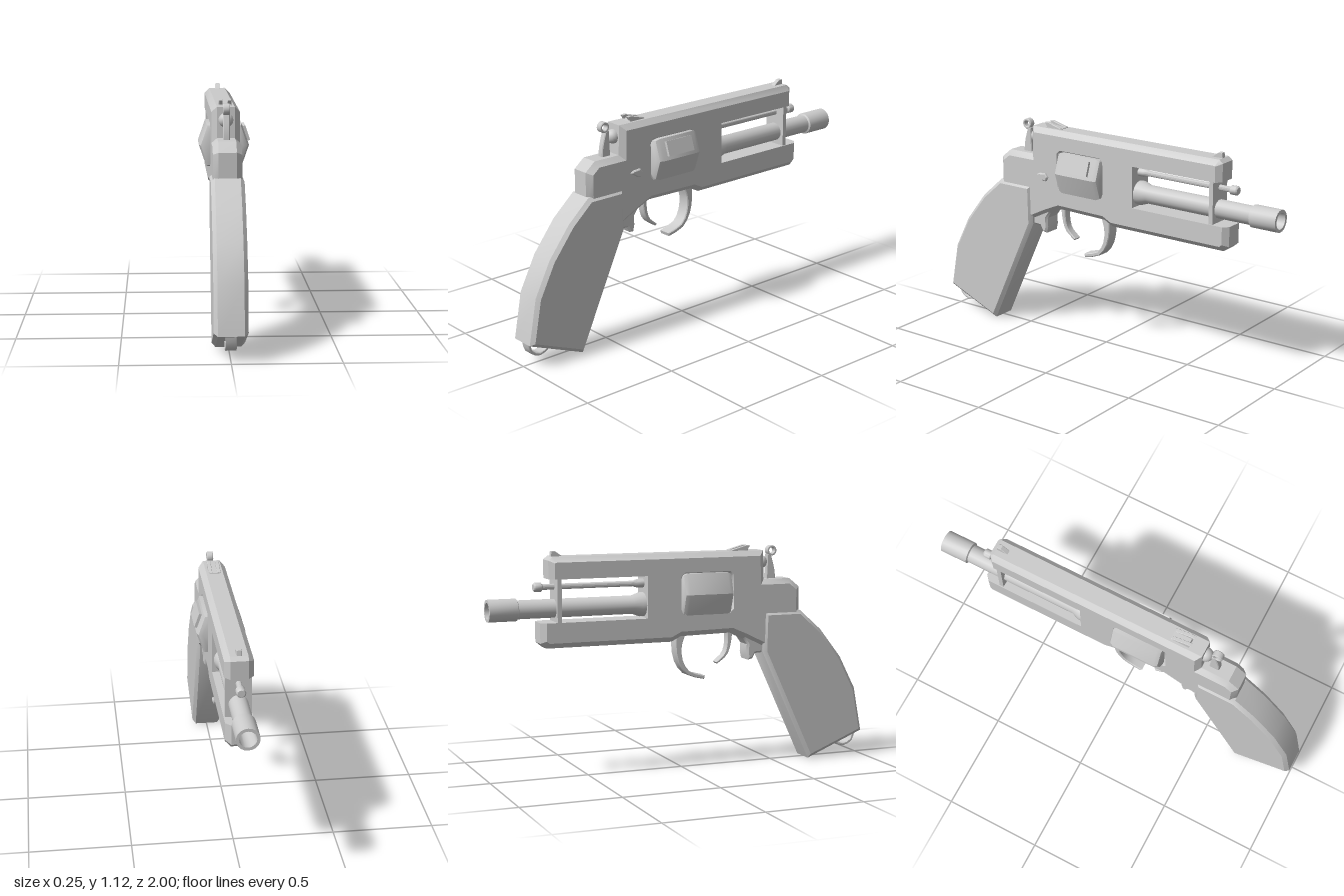
import * as THREE from 'three';
import { toCreasedNormals } from 'three/addons/utils/BufferGeometryUtils.js';

const material = new THREE.MeshStandardMaterial({ color: 0xcccccc });
const vectors = (points) => points.map(([a, b]) => new THREE.Vector2(a, b));

export function createModel() {
  const model = new THREE.Group();

  const add = (name, geometry, x = 0, y = 0, z = 0) => {
    const mesh = new THREE.Mesh(geometry, material);
    mesh.name = name;
    mesh.position.set(x, y, z);
    model.add(mesh);
    return mesh;
  };

  // Side outline of [z, y] points, thickened to +-half along x with chamfered edges
  const plate = (points, half, bevel = 0.006, holes = []) => {
    const shape = new THREE.Shape(vectors(points));
    shape.holes = holes.map((h) => new THREE.Path(vectors(h)));
    const depth = 2 * (half - bevel);
    const geometry = new THREE.ExtrudeGeometry(shape, {
      depth, bevelEnabled: bevel > 0, bevelSize: bevel, bevelThickness: bevel,
      bevelOffset: -bevel, bevelSegments: 1,
    });
    return geometry.translate(0, 0, -depth / 2).rotateY(-Math.PI / 2);
  };
  const creased = (geometry) => toCreasedNormals(geometry, 0.6);

  // Curved strap following [z, y, thickness] points
  const strap = (points, half, bevel = 0.004) => {
    const curve = new THREE.CatmullRomCurve3(points.map((p) => new THREE.Vector3(...p)));
    const a = [], b = [];
    for (let i = 0; i <= 8; i++) {
      const p = curve.getPoint(i / 8);
      const t = curve.getTangent(i / 8).setZ(0).normalize().multiplyScalar(p.z / 2);
      a.push([p.x - t.y, p.y + t.x]);
      b.unshift([p.x + t.y, p.y - t.x]);
    }
    return creased(plate([...a, ...b], half, bevel));
  };

  // Round part along -z from [radius, distance] points
  const turned = (points, sides = 20) =>
    toCreasedNormals(new THREE.LatheGeometry(vectors(points), sides).rotateX(-Math.PI / 2).toNonIndexed(), 0.7);

  const circle = (z, y, r, n = 14) =>
    Array.from({ length: n }, (_, i) => {
      const t = (i / n) * Math.PI * 2;
      return [z + r * Math.cos(t), y + r * Math.sin(t)];
    });

  // Frame with top strap, lower shroud and cylinder window
  const b = 0.026;
  const window = [
    [-0.025 + b, 0.82], [0.005, 0.79 + b], [0.23, 0.79 + b], [0.26 - b, 0.82],
    [0.26 - b, 0.97], [0.23, 1.0 - b], [0.005, 1.0 - b], [-0.025 + b, 0.97],
  ];
  const frame = plate([
    [0.635, 0.74], [0.635, 0.905], [0.58, 0.95], [0.435, 0.95], [0.43, 1.097],
    [-0.685, 1.097], [-0.705, 1.08], [-0.705, 0.99], [-0.205, 0.99], [-0.205, 0.78],
    [-0.75, 0.78], [-0.75, 0.68], [-0.72, 0.655], [-0.07, 0.655], [-0.02, 0.68],
    [0.25, 0.685], [0.33, 0.65], [0.43, 0.6], [0.52, 0.6],
  ], 0.068, b, [window]);
  // Keep the barrel opening square instead of chamfered
  const p = frame.attributes.position;
  for (let i = 0; i < p.count; i++) {
    const y = p.getY(i), z = p.getZ(i);
    if (z < -0.17 && y > 0.745 && y < 1.02) {
      p.setY(i, y > 0.88 ? 0.99 : 0.78);
      if (z > -0.4) p.setZ(i, -0.205);
    }
  }
  frame.computeVertexNormals();
  add('frame', creased(frame));
  add('frontPost', new THREE.BoxGeometry(0.124, 0.23, 0.022), 0, 0.885, -0.656);

  // Spur at the front of the grip
  add('gripSpur', creased(plate([
    [0.28, 0.69], [0.32, 0.655], [0.345, 0.62], [0.342, 0.575], [0.35, 0.54], [0.375, 0.545],
    [0.39, 0.572], [0.44, 0.575], [0.45, 0.7],
  ], 0.05, 0.01)));

  // Grip and lanyard loop
  add('grip', creased(plate([
    [0.635, 0.785], [0.753, 0.68], [0.87, 0.53], [0.957, 0.36], [1.0, 0.13],
    [0.69, 0.004], [0.425, 0.578], [0.43, 0.785],
  ], 0.078, 0.018)));
  add('lanyardLoop', strap([
    [0.98, 0.13, 0.014], [0.965, 0.075, 0.014], [0.915, 0.052, 0.014], [0.865, 0.075, 0.014], [0.86, 0.09, 0.014],
  ], 0.026, 0.003));

  // Faceted cylinder with a raised panel and rear axle
  const drum = new THREE.ExtrudeGeometry(new THREE.Shape(vectors([
    [0.122, 0], [0.086, 0.104], [-0.086, 0.104], [-0.122, 0], [-0.086, -0.104], [0.086, -0.104],
  ])), { depth: 0.215, bevelSize: 0.028, bevelThickness: 0.028, bevelOffset: -0.028, bevelSegments: 2 });
  add('cylinder', creased(drum), 0, 0.892, 0.002);
  add('cylinderPanel', new THREE.BoxGeometry(0.028, 0.075, 0.16), 0.104, 0.944, 0.11).rotation.z = 0.33;
  add('cylinderAxle', turned([[0, -0.285], [0.034, -0.285], [0.04, -0.275], [0.04, -0.2]]), 0, 0.895, 0);

  // Hollow barrel and ejector rod
  add('barrel', turned([
    [0.06, 0.15], [0.06, 0.225], [0.046, 0.265], [0.046, 0.853], [0.055, 0.858],
    [0.055, 1.0], [0.04, 1.0], [0.037, 0.85], [0, 0.85],
  ]), 0, 0.845, 0);
  add('ejectorRod', turned([
    [0.022, 0.18], [0.022, 0.235], [0.014, 0.26], [0.014, 0.725], [0.023, 0.732],
    [0.023, 0.763], [0.017, 0.77], [0, 0.77],
  ], 12), 0, 0.95, 0);

  // Trigger and open guard
  add('trigger', strap([
    [0.255, 0.72, 0.035], [0.257, 0.65, 0.024], [0.238, 0.575, 0.018], [0.185, 0.53, 0.012],
  ], 0.022));
  add('triggerGuard', strap([
    [-0.015, 0.69, 0.05], [-0.026, 0.63, 0.034], [-0.016, 0.55, 0.026], [0.025, 0.49, 0.022], [0.115, 0.462, 0.018],
  ], 0.034));

  // Hammer with ring spur and striker
  add('hammer', strap([[0.488, 0.92, 0.055], [0.488, 0.99, 0.045], [0.478, 1.075, 0.02]], 0.016));
  add('hammerRing', creased(plate(circle(0.494, 1.092, 0.027), 0.016, 0.003, [circle(0.494, 1.092, 0.015)])));
  add('striker', new THREE.SphereGeometry(0.035, 16, 12), 0, 1.035, 0.435);

  // Sights
  add('rearSightBase', creased(plate([[0.36, 1.085], [0.35, 1.108], [0.26, 1.1], [0.26, 1.085]], 0.03, 0.003)));
  for (const side of [-1, 1]) {
    add('rearSightPost', creased(plate([
      [0.345, 1.09], [0.365, 1.122], [0.345, 1.124], [0.265, 1.102], [0.265, 1.09],
    ], 0.009, 0.002)), side * 0.021);
  }
  add('frontSight', creased(plate([[-0.615, 1.09], [-0.66, 1.122], [-0.68, 1.122], [-0.685, 1.09]], 0.012, 0.002)));

  // Cylinder release latch on one side
  add('releaseLatch', creased(plate([
    [0.385, 0.855], [0.37, 0.865], [0.33, 0.868], [0.315, 0.85], [0.325, 0.828], [0.345, 0.828],
  ], 0.014, 0.005)), 0.066);

  return model;
}
